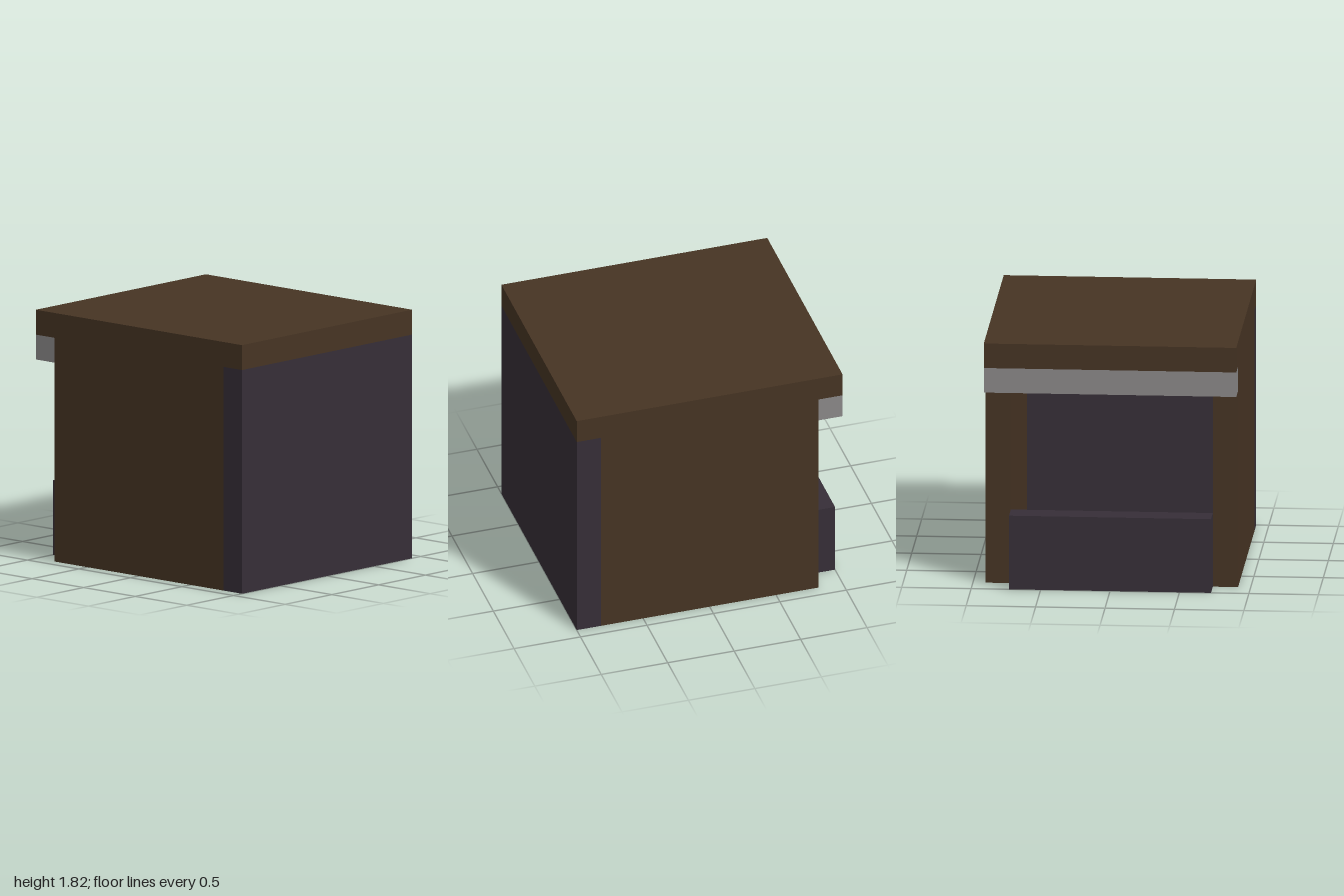
import * as THREE from 'three';

const U = 1 / 11; // the hutch is laid out on a 20 x 20 x 22 unit grid

export function createModel() {
  const group = new THREE.Group();
  const material = (name, color) => {
    const m = new THREE.MeshStandardMaterial({ color });
    m.name = name;
    return m;
  };
  const wood = material('brown wood', 0x463423);
  const plum = material('dark plum', 0x362e37);
  const grey = material('grey', 0x8a8888);

  // Box from its minimum and maximum corners in grid units
  const slab = (name, mat, [x0, y0, z0], [x1, y1, z1]) => {
    const geometry = new THREE.BoxGeometry((x1 - x0) * U, (y1 - y0) * U, (z1 - z0) * U);
    const mesh = new THREE.Mesh(geometry, mat);
    mesh.position.set((x0 + x1) / 2 * U, (y0 + y1) / 2 * U, (z0 + z1) / 2 * U);
    mesh.name = name;
    group.add(mesh);
  };

  // Roof and the two side walls
  slab('roof', wood, [-10, 18, -11], [10, 20, 11]);
  slab('leftWall', wood, [8, 0, -9], [10, 18, 9]);
  slab('rightWall', wood, [-10, 0, -9], [-8, 18, 9]);

  // Full front panel
  slab('frontPanel', plum, [-10, 0, 9], [10, 18, 11]);

  // Open back: low board between the walls and a lintel under the roof
  slab('backBoard', plum, [-8, 0, -11], [8, 6, -9]);
  slab('backLintel', grey, [-10, 16, -11], [10, 18, -9]);

  return group;
}
